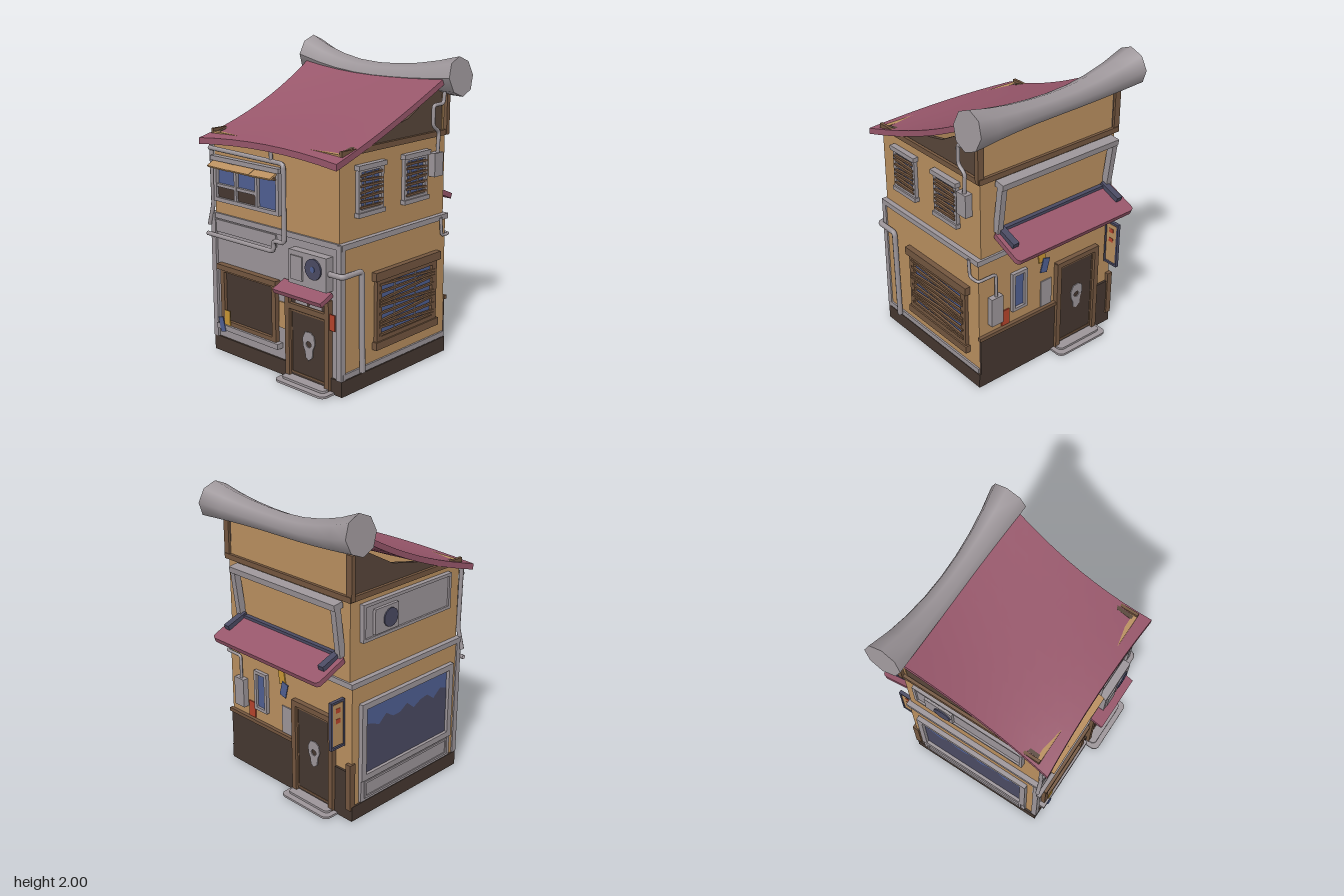
import * as THREE from 'three';

const M = {};
for (const [name, hex] of Object.entries({
  plaster: 0xb98f5f, grey: 0x9c9599, wood: 0x73563f, darkWood: 0x453730, gableWood: 0x58463a,
  roofPink: 0x97566a, glass: 0x4f5f92, slate: 0x4a4a62, red: 0xb5432b, yellow: 0xc79534 })) {
  M[name] = new THREE.MeshStandardMaterial({ color: hex });
  M[name].name = name;
}

function add(parent, name, geo, mat) {
  const m = new THREE.Mesh(geo, mat);
  m.name = name;
  parent.add(m);
  return m;
}
// Box given by its ranges; u runs along the wall, w out of it
function plate(parent, name, mat, u0, u1, y0, y1, w0, w1, tilt = 0) {
  const m = add(parent, name, new THREE.BoxGeometry(u1 - u0, y1 - y0, w1 - w0), mat);
  m.position.set((u0 + u1) / 2, (y0 + y1) / 2, (w0 + w1) / 2);
  m.rotation.z = tilt;
  return m;
}
// Rectangular border of four bars
function border(parent, name, mat, u0, u1, y0, y1, w0, w1, t) {
  plate(parent, name, mat, u0, u0 + t, y0, y1, w0, w1);
  plate(parent, name, mat, u1 - t, u1, y0, y1, w0, w1);
  plate(parent, name, mat, u0 + t, u1 - t, y1 - t, y1, w0, w1);
  plate(parent, name, mat, u0 + t, u1 - t, y0, y0 + t, w0, w1);
}
// Tube through points with rounded bends
function pipe(parent, name, pts, r) {
  const v = pts.map(p => new THREE.Vector3(...p));
  const path = new THREE.CurvePath();
  let from = v[0];
  for (let i = 1; i < v.length - 1; i++) {
    const a = v[i].clone().add(v[i - 1].clone().sub(v[i]).setLength(0.025));
    const b = v[i].clone().add(v[i + 1].clone().sub(v[i]).setLength(0.025));
    path.add(new THREE.LineCurve3(from, a));
    path.add(new THREE.QuadraticBezierCurve3(a, v[i], b));
    from = b;
  }
  path.add(new THREE.LineCurve3(from, v[v.length - 1]));
  M.grey.side = THREE.DoubleSide;
  add(parent, name, new THREE.TubeGeometry(path, 100, r, 8), M.grey);
}
// Flat slab with rounded corners lying on its side
function slab(parent, name, mat, w, d, h, r) {
  const s = new THREE.Shape(), x = w / 2 - r, y = d / 2 - r;
  s.absarc(x, y, r, 0, Math.PI / 2).absarc(-x, y, r, Math.PI / 2, Math.PI);
  s.absarc(-x, -y, r, Math.PI, Math.PI * 1.5).absarc(x, -y, r, Math.PI * 1.5, Math.PI * 2);
  const g = new THREE.ExtrudeGeometry(s, { depth: h, bevelEnabled: false, curveSegments: 4 });
  return add(parent, name, g.rotateX(-Math.PI / 2), mat);
}
// Panelled door with frame, ornament and step, centred on u
function door(face, u, top) {
  const g = new THREE.Group();
  g.name = 'door';
  g.position.x = u;
  face.add(g);
  plate(g, 'doorPanel', M.darkWood, -0.15, 0.15, 0.04, top, 0, 0.015);
  for (const s of [-1, 1]) plate(g, 'doorPost', M.wood, s * 0.165 - 0.018, s * 0.165 + 0.018, 0.02, top + 0.03, 0, 0.035);
  plate(g, 'doorLintel', M.wood, -0.18, 0.18, top, top + 0.035, 0, 0.035);
  border(g, 'doorMoulding', M.wood, -0.145, 0.145, 0.05, top - 0.01, 0.015, 0.019, 0.01);
  const s = new THREE.Shape([[0, -0.095], [0.03, -0.07], [0.035, -0.02], [0.052, 0.02], [0.045, 0.07], [0.015, 0.09],
    [-0.03, 0.085], [-0.052, 0.04], [-0.045, -0.01], [-0.03, -0.04], [-0.025, -0.08]].map(p => new THREE.Vector2(...p)));
  s.holes.push(new THREE.Path().absellipse(0, 0.01, 0.022, 0.02, 0, Math.PI * 2, true));
  add(g, 'doorOrnament', new THREE.ExtrudeGeometry(s, { depth: 0.006, bevelEnabled: false }), M.grey).position.set(0.005, top * 0.55, 0.015);
  slab(g, 'doorStep', M.grey, 0.42, 0.14, 0.014, 0.04).position.set(0, 0, 0.045);
  slab(g, 'upperStep', M.grey, 0.36, 0.09, 0.014, 0.03).position.set(0, 0.018, 0.035);
}
// Glazed window boarded with uneven slats
function boardedWindow(face, name, u, hw, y0, y1, w, n, frame, t) {
  const g = new THREE.Group();
  g.name = name;
  g.position.set(u, 0, w);
  face.add(g);
  plate(g, 'pane', M.glass, -hw, hw, y0, y1, 0, 0.006);
  border(g, 'windowFrame', frame, -hw - t * 0.5, hw + t * 0.5, y0, y1, 0, 0.025, t);
  for (const s of [-0.4, 0.35]) plate(g, 'mullion', M.grey, s * hw - 0.005, s * hw + 0.005, y0, y1, 0.006, 0.012);
  plate(g, 'header', frame, -hw - t, hw + t, y1 - t * 0.4, y1 + t * 0.8, 0, 0.038);
  plate(g, 'sill', frame, -hw - t * 0.8, hw + t * 0.8, y0 - t * 0.7, y0 + t * 0.4, 0, 0.035);
  for (let i = 0; i < n; i++) {
    const y = y0 + t + (y1 - y0 - 2 * t) * (i + 0.4) / n;
    plate(g, 'slat', M.wood, -hw, hw, y - 0.007, y + 0.007, 0.014, 0.03, Math.sin(i * 4.7 + u) * 0.06);
  }
}

export function createModel() {
  const house = new THREE.Group();
  house.name = 'house';
  const side = (name, x, z, turn) => {
    const g = new THREE.Group();
    g.name = name;
    g.position.set(x, 0, z);
    g.rotation.y = turn;
    house.add(g);
    return g;
  };
  const front = side('frontSide', 0, 0.55, 0), back = side('backSide', 0, -0.43, Math.PI);
  const right = side('plusXSide', 0.56, 0, Math.PI / 2), left = side('minusXSide', -0.56, 0, -Math.PI / 2);

  // Walls, plinth and bands: [face, uMin, uMax, lower colour, upper inset, upper top]
  for (const [f, a, b, mat, inset, top] of [[front, -0.56, 0.56, M.grey, 0, 1.47], [back, -0.56, 0.56, M.plaster, 0, 1.77],
    [right, -0.55, 0.43, M.plaster, -0.02, 1.47], [left, -0.43, 0.55, M.plaster, -0.02, 1.47]]) {
    const e = f === front || f === back ? 0.02 : 0;
    plate(f, 'plinth', M.darkWood, a - 0.01, b + 0.01, 0, 0.1, -0.03, 0.012);
    plate(f, 'lowerWall', mat, a, b, 0.1, 0.94, -0.03, 0);
    plate(f, 'upperWall', M.plaster, a + e, b - e, 0.94, top, inset - 0.03, inset);
    plate(f, 'floorBand', M.grey, a - 0.012, b + 0.012, 0.91, 0.945, -0.03, 0.014);
    if (f !== front) plate(f, 'eaveBand', M.wood, a, b, 1.455, 1.49, inset, inset + 0.02);
  }
  plate(right, 'footStrip', M.grey, -0.55, 0.43, 0.105, 0.14, 0, 0.012);

  // Gables below the roof
  for (const [f, s] of [[right, 1], [left, -1]]) {
    const shape = new THREE.Shape([[-0.55, 1.465], [0.43, 1.465], [0.43, 1.79], [0.36, 1.76], [0.07, 1.6]].map(p => new THREE.Vector2(p[0] * s, p[1])));
    add(f, 'gable', new THREE.ExtrudeGeometry(shape, { depth: 0.025, bevelEnabled: false }), M.gableWood).position.z = -0.05;
    plate(f, 'gablePost', M.wood, s * 0.43 - 0.015, s * 0.43 + 0.015, 1.46, 1.74, -0.04, 0.005);
  }

  // Curved, flared roof
  const roofGeo = new THREE.BoxGeometry(2, 0.04, 1, 8, 1, 10);
  const rp = roofGeo.attributes.position;
  for (let i = 0; i < rp.count; i++) {
    const x = rp.getX(i), t = 0.5 - rp.getZ(i), q = x * x, s = t * 0.99;
    const flare = 0.56 + 0.03 * (2 * t - 1) ** 2;
    const y = 1.445 + 0.21 * s + 0.168 * s * s + q * (-0.03 + 0.065 * t) - t * 0.04 + (x < 0 ? 0.02 * q * t : 0);
    rp.setXYZ(i, x * flare, y + rp.getY(i), 0.62 - s + (1 - t) * 0.02 * (q - 0.5));
  }
  roofGeo.computeVertexNormals();
  add(house, 'roof', roofGeo, M.roofPink);

  // Sagging ridge roll
  const rollGeo = new THREE.CylinderGeometry(0.12, 0.12, 1.28, 8, 8).rotateZ(Math.PI / 2);
  const lp = rollGeo.attributes.position;
  for (let i = 0; i < lp.count; i++) {
    const x = lp.getX(i), y = lp.getY(i), q = (x / 0.64) ** 2, k = 0.63 + 0.4 * q;
    lp.setXYZ(i, x - Math.sign(x) * q * y * 0.14, 1.79 + q * (x < 0 ? 0.09 : 0.035) + y * k, -0.425 - 0.025 * q + lp.getZ(i) * k);
  }
  rollGeo.computeVertexNormals();
  add(house, 'ridgeRoll', rollGeo, M.grey);

  // Front: corner strips and lower shop window
  for (const s of [-1, 1]) plate(front, 'cornerStrip', M.grey, s * 0.55 - 0.02, s * 0.55 + 0.02, 0.1, 0.94, -0.02, 0.018);
  plate(front, 'fasciaBoard', M.grey, -0.55, 0.02, 0.82, 0.9, 0, 0.01);
  plate(front, 'shopPane', M.darkWood, -0.45, 0.0, 0.2, 0.59, 0, 0.008);
  border(front, 'shopFrame', M.wood, -0.48, 0.03, 0.2, 0.6, 0, 0.03, 0.035);
  plate(front, 'shopHeader', M.wood, -0.5, 0.045, 0.58, 0.615, 0, 0.045);
  plate(front, 'shopSill', M.grey, -0.51, 0.06, 0.172, 0.208, 0, 0.045);
  plate(front, 'yellowNote', M.yellow, -0.44, -0.39, 0.21, 0.31, 0.031, 0.036);
  plate(front, 'blueNote', M.glass, -0.475, -0.43, 0.16, 0.26, 0.046, 0.051, 0.25);
  [M.red, M.yellow, M.glass].forEach((m, i) => plate(front, 'insidePoster', m, -0.24 - i * 0.12, -0.13 - i * 0.12, 0.26, 0.5, -0.036, -0.031));

  // Front: upper three-bay window with flaps
  border(front, 'upperFrame', M.grey, -0.52, 0.07, 1.03, 1.3, 0, 0.03, 0.025);
  plate(front, 'upperHeader', M.grey, -0.535, 0.08, 1.295, 1.325, 0, 0.04);
  for (let i = 0; i < 3; i++) {
    const u = -0.51 + i * 0.19;
    plate(front, 'upperPane', M.glass, u, u + 0.19, 1.04, 1.29, 0, 0.006);
    if (i) plate(front, 'upperMullion', M.grey, u - 0.01, u + 0.01, 1.04, 1.29, 0, 0.028);
    if (i < 2) {
      plate(front, 'darkPane', M.darkWood, u, u + 0.18, 1.04, 1.14, 0.006, 0.012);
      plate(front, 'crossBar', M.grey, u, u + 0.19, 1.125, 1.145, 0, 0.026);
    }
    plate(front, 'flapRail', M.wood, u, u + 0.18, 1.25, 1.28, 0.03, 0.045);
    plate(front, 'flap', M.plaster, u - 0.005, u + 0.185, 1.27, 1.282, 0.015, 0.085, (i - 1) * 0.03).rotation.x = 0.45;
  }

  // Front: door, transom, canopy and notices
  door(front, 0.3, 0.47);
  plate(front, 'transom', M.darkWood, 0.13, 0.47, 0.5, 0.58, 0, 0.012);
  for (const u of [0.24, 0.36]) {
    const arc = add(front, 'transomArc', new THREE.CircleGeometry(0.05, 12, 0, Math.PI).scale(1, 0.9, 1), M.grey);
    arc.position.set(u, 0.51, 0.014);
  }
  for (const s of [-1, 1]) plate(front, 'transomPost', M.wood, 0.3 + s * 0.165 - 0.018, 0.3 + s * 0.165 + 0.018, 0.49, 0.59, 0, 0.035);
  plate(front, 'doorCanopy', M.roofPink, 0.09, 0.49, 0.59, 0.62, 0, 0.11).rotation.x = 0.4;
  plate(front, 'plainNotice', M.plaster, 0.04, 0.108, 0.31, 0.48, 0, 0.009);
  plate(front, 'redNotice', M.red, 0.47, 0.525, 0.41, 0.51, 0.018, 0.025);

  // Front: fan unit
  plate(front, 'fanUnit', M.grey, 0.18, 0.49, 0.65, 0.86, 0, 0.06);
  plate(front, 'fanUnitPanel', M.grey, 0.205, 0.3, 0.68, 0.83, 0.06, 0.069);
  add(front, 'fan', new THREE.CylinderGeometry(0.065, 0.065, 0.012, 16).rotateX(Math.PI / 2), M.slate).position.set(0.39, 0.775, 0.064);
  add(front, 'fanHub', new THREE.CylinderGeometry(0.018, 0.018, 0.012, 10).rotateX(Math.PI / 2), M.glass).position.set(0.39, 0.775, 0.068);

  // Plus x side: boarded windows and meter box
  boardedWindow(right, 'lowerWindow', 0.03, 0.27, 0.25, 0.68, 0, 10, M.wood, 0.045);
  for (const u of [-0.3, 0.12]) boardedWindow(right, 'upperWindow', u, 0.1, 1.095, 1.37, -0.02, 7, M.grey, 0.025);
  plate(right, 'meterBox', M.grey, 0.27, 0.355, 1.21, 1.36, -0.02, 0.03);

  // Pipes
  pipe(front, 'frontPipe', [[-0.59, 0.8, 0.03], [0.02, 0.8, 0.03], [0.02, 0.87, 0.03], [0.115, 0.87, 0.03], [0.115, 1.36, 0.03], [-0.55, 1.37, 0.03]], 0.015);
  pipe(front, 'shortPipe', [[0.01, 1.36, 0.03], [0.01, 1.45, 0.03]], 0.012);
  pipe(front, 'cornerPipe', [[-0.58, 0.86, 0.02], [-0.545, 1.0, 0.015], [-0.55, 1.44, 0.015]], 0.014);
  pipe(house, 'drainPipe', [[0.48, 0.76, 0.58], [0.59, 0.76, 0.58], [0.59, 0.76, 0.41], [0.59, 0.12, 0.4]], 0.018);
  pipe(house, 'roofPipe', [[0.57, 1.74, -0.38], [0.57, 1.66, -0.37], [0.57, 1.66, -0.27], [0.57, 1.53, -0.27], [0.57, 1.49, -0.33], [0.57, 1.35, -0.32]], 0.012);
  pipe(house, 'cablePipe', [[0.58, 0.93, -0.36], [0.58, 0.81, -0.37], [0.58, 0.81, -0.45], [0.44, 0.81, -0.45], [0.44, 0.6, -0.45]], 0.01);

  // Back: door, wainscot and wall fittings
  door(back, 0.24, 0.64);
  plate(back, 'wainscot', M.darkWood, -0.56, 0.06, 0.1, 0.36, 0, 0.015);
  plate(back, 'wainscotCap', M.wood, -0.57, 0.06, 0.36, 0.385, 0, 0.025);
  plate(back, 'wainscotPost', M.wood, 0.53, 0.57, 0.08, 0.4, -0.02, 0.025);
  plate(back, 'shortWainscot', M.darkWood, 0.43, 0.54, 0.1, 0.34, 0, 0.015);
  plate(back, 'electricBox', M.grey, -0.49, -0.4, 0.45, 0.65, 0, 0.04);
  plate(back, 'redNotice', M.red, -0.385, -0.325, 0.39, 0.5, 0, 0.008);
  plate(back, 'smallPane', M.glass, -0.3, -0.2, 0.48, 0.74, 0, 0.008);
  border(back, 'smallWindowFrame', M.grey, -0.31, -0.19, 0.47, 0.75, 0, 0.025, 0.022);
  plate(back, 'yellowNote', M.yellow, -0.085, -0.03, 0.73, 0.83, 0, 0.007, 0.15);
  plate(back, 'blueNote', M.glass, -0.06, -0.005, 0.65, 0.75, 0.007, 0.013, -0.25);
  plate(back, 'greyNotice', M.grey, -0.06, 0.03, 0.39, 0.58, 0, 0.008);

  // Back: hanging sign
  plate(back, 'signBoard', M.plaster, 0.495, 0.509, 0.54, 0.82, 0.02, 0.12);
  for (const w of [0.015, 0.115]) plate(back, 'signRail', M.slate, 0.49, 0.514, 0.52, 0.84, w, w + 0.012);
  for (const y of [0.52, 0.826]) plate(back, 'signBar', M.slate, 0.49, 0.514, y, y + 0.014, 0.015, 0.127);
  for (const y of [0.69, 0.76]) plate(back, 'signMark', M.red, 0.493, 0.511, y, y + 0.03, 0.05, 0.085);

  // Back: awning, its brackets and the leaning frame above
  const awning = slab(back, 'backAwning', M.roofPink, 0.96, 0.25, 0.035, 0.03);
  awning.position.set(0.03, 1.025, 0.11);
  awning.rotation.x = 0.4;
  for (const u of [-0.4, 0.455]) plate(back, 'awningBracket', M.slate, u - 0.022, u + 0.022, 1.07, 1.105, 0, 0.16).rotation.x = 0.35;
  plate(back, 'awningRail', M.slate, -0.4, 0.455, 1.09, 1.115, 0, 0.03);
  const lean = new THREE.Group();
  lean.name = 'leaningFrame';
  lean.position.set(0, 1.1, 0.012);
  lean.rotation.x = 0.13;
  back.add(lean);
  for (const u of [-0.42, 0.475]) plate(lean, 'framePost', M.grey, u - 0.02, u + 0.02, 0, 0.35, -0.02, 0.025);
  plate(lean, 'frameTop', M.grey, -0.44, 0.495, 0.31, 0.35, -0.04, 0.03);

  // Minus x side: large window with a ragged dark film
  plate(left, 'largePane', M.glass, -0.33, 0.44, 0.28, 0.76, 0, 0.006);
  const film = new THREE.Shape();
  film.moveTo(-0.33, 0.29).lineTo(0.44, 0.29);
  for (let i = 0; i <= 12; i++) film.lineTo(0.44 - i * 0.77 / 12, 0.62 + Math.sin(i * 2.3) * 0.03);
  add(left, 'windowFilm', new THREE.ShapeGeometry(film), M.slate).position.z = 0.009;
  border(left, 'largeFrame', M.grey, -0.37, 0.48, 0.26, 0.79, 0, 0.03, 0.04);
  plate(left, 'lowerPanel', M.grey, -0.37, 0.48, 0.11, 0.26, 0, 0.02);
  border(left, 'panelMoulding', M.grey, -0.34, 0.45, 0.13, 0.25, 0.02, 0.028, 0.015);

  // Minus x side: long board with vent
  plate(left, 'longBoard', M.grey, -0.34, 0.43, 1.19, 1.41, -0.02, 0);
  border(left, 'boardRim', M.grey, -0.35, 0.44, 1.18, 1.42, -0.02, 0.012, 0.02);
  plate(left, 'ventBox', M.grey, -0.26, -0.06, 1.21, 1.37, 0, 0.02);
  add(left, 'vent', new THREE.CylinderGeometry(0.06, 0.06, 0.012, 16).rotateX(Math.PI / 2), M.slate).position.set(-0.13, 1.29, 0.022);
  return house;
}
